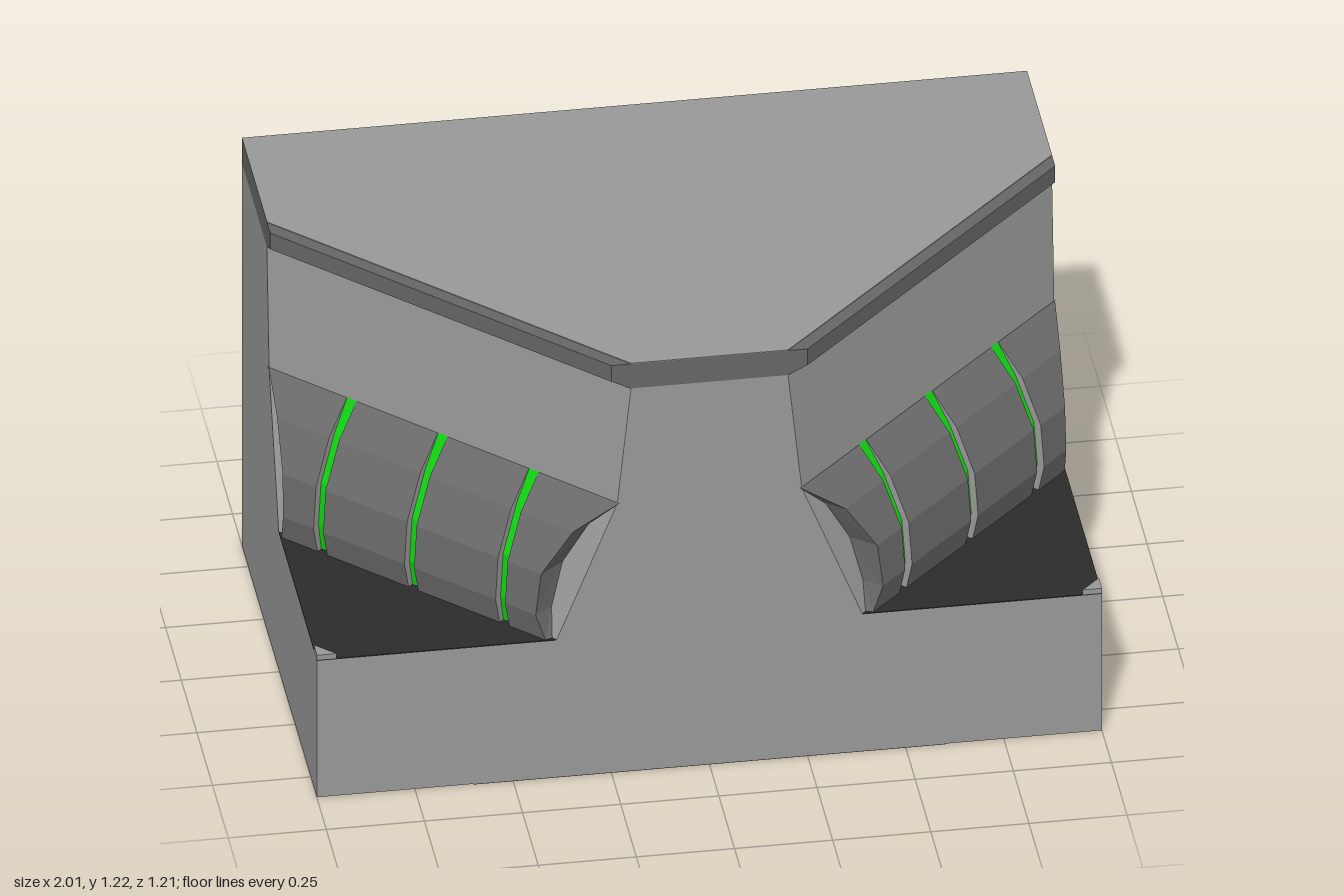
import * as THREE from 'three';

const BODY = 0x999999, TRIM = 0x666666, PANEL = 0x6a6a6a, FLOOR = 0x2c2c2c, GREEN = 0x11cc11;

// Skins a row of cross-sections (arrays of [x, y, z]) with flat faces.
function loft(rings, closed, caps) {
  const pos = [];
  const tri = (a, b, c) => pos.push(...a, ...b, ...c);
  for (let i = 0; i < rings.length - 1; i++) {
    const p = rings[i], q = rings[i + 1], n = p.length;
    for (let j = 0; j < (closed ? n : n - 1); j++) {
      const k = (j + 1) % n;
      tri(p[j], p[k], q[k]);
      tri(p[j], q[k], q[j]);
    }
  }
  if (caps) {
    const b = rings[0], t = rings[rings.length - 1];
    for (let j = 1; j < b.length - 1; j++) {
      tri(b[0], b[j + 1], b[j]);
      tri(t[0], t[j], t[j + 1]);
    }
  }
  const g = new THREE.BufferGeometry();
  g.setAttribute('position', new THREE.Float32BufferAttribute(pos, 3));
  g.computeVertexNormals();
  return g;
}

function add(parent, name, geometry, color, doubleSide = false) {
  const material = new THREE.MeshStandardMaterial({ color, flatShading: true });
  if (doubleSide) material.side = THREE.DoubleSide;
  const mesh = new THREE.Mesh(geometry, material);
  mesh.name = name;
  parent.add(mesh);
  return mesh;
}

// Plan outline with both front corners cut along |x| + z = s.
const plan = (s, y) => [
  [-1, y, s - 1], [0.6 - s, y, 0.6], [s - 0.6, y, 0.6],
  [1, y, s - 1], [1, y, -0.6], [-1, y, -0.6],
];

// Triangular plate filling a front corner, legs of the given size.
const corner = (leg, y0, y1) => loft([y0, y1].map((y) => [
  [1, y, 0.6], [1, y, 0.6 - leg], [1 - leg, y, 0.6],
]), true, true);

// Bulge profile: height, outer x+z, sloped wall x+z, and end position (x-z).
const PROFILE = [
  { y: 0.805, out: 0.838, wall: 0.833, end: -0.365 },
  { y: 0.725, out: 0.945, wall: 0.865, end: -0.25 },
  { y: 0.607, out: 1.025, wall: 0.912, end: -0.168 },
  { y: 0.487, out: 1.04, wall: 0.96, end: -0.155 },
  { y: 0.41, out: 1.015, wall: 0.99, end: -0.18 },
];

// Cross-section of the bulge; "along" gives x-z and "sum" gives x+z.
const section = (along, sum) => PROFILE.map((p) => {
  const a = along(p), s = sum(p);
  return [(s + a) / 2, p.y, (s - a) / 2];
});

function createSide() {
  const side = new THREE.Group();
  const outer = (p) => p.out;
  const wall = (p) => p.wall;
  const recess = (p) => Math.max(p.wall + 0.003, p.out - 0.03);
  const first = (p) => p.end, last = (p) => 0.8 - p.end;
  const firstFoot = (p) => p.end - 0.012, lastFoot = (p) => 0.812 - p.end;
  const half = 0.021;
  const grooves = [0, 0.4, 0.8];

  // Curved panels between the grooves
  const stops = [first];
  grooves.forEach((c) => stops.push(() => c - half, () => c + half));
  stops.push(last);
  for (let i = 0; i < stops.length; i += 2) {
    add(side, 'bulgePanel', loft([section(stops[i], outer), section(stops[i + 1], outer)]), PANEL, true);
  }
  // Tapered bulge ends
  add(side, 'bulgeEnd', loft([section(firstFoot, wall), section(first, outer)]), PANEL, true);
  add(side, 'bulgeEnd', loft([section(last, outer), section(lastFoot, wall)]), PANEL, true);

  // Recessed green strips with grey groove walls
  for (const c of grooves) {
    const a = () => c - half, b = () => c + half;
    add(side, 'lightStrip', loft([section(a, recess), section(b, recess)]), GREEN, true);
    for (const edge of [a, b]) {
      add(side, 'grooveWall', loft([section(edge, outer), section(edge, recess)]), BODY, true);
    }
  }

  // Dark ledge and small raised corner
  add(side, 'ledge', corner(0.61, 0.408, 0.411), FLOOR);
  add(side, 'cornerStud', corner(0.05, 0.411, 0.425), BODY);
  return side;
}

export function createModel() {
  const model = new THREE.Group();
  model.name = 'cornerCutBlock';

  // Base block and underside plate
  const base = new THREE.BoxGeometry(2, 0.406, 1.2);
  base.translate(0, 0.205, 0);
  add(model, 'base', base, BODY);
  add(model, 'undersidePlate', loft([plan(1.2, 0), plan(1.2, 0.002)], true, true), TRIM);

  // Upper body with sloping cut corners
  add(model, 'upperBody', loft([plan(0.99, 0.408), plan(0.835, 0.8), plan(0.8, 1.14)], true, true), BODY);

  // Overhanging rim and lighter top
  add(model, 'rim', loft([plan(0.8, 1.14), plan(0.85, 1.165), plan(0.85, 1.213)], true, true), TRIM);
  add(model, 'topPlate', loft([plan(0.8, 1.213), plan(0.8, 1.215)], true, true), BODY);

  // Mirrored corner details
  const left = createSide();
  left.name = 'leftCorner';
  const right = createSide();
  right.name = 'rightCorner';
  right.scale.x = -1;
  model.add(left, right);
  return model;
}
